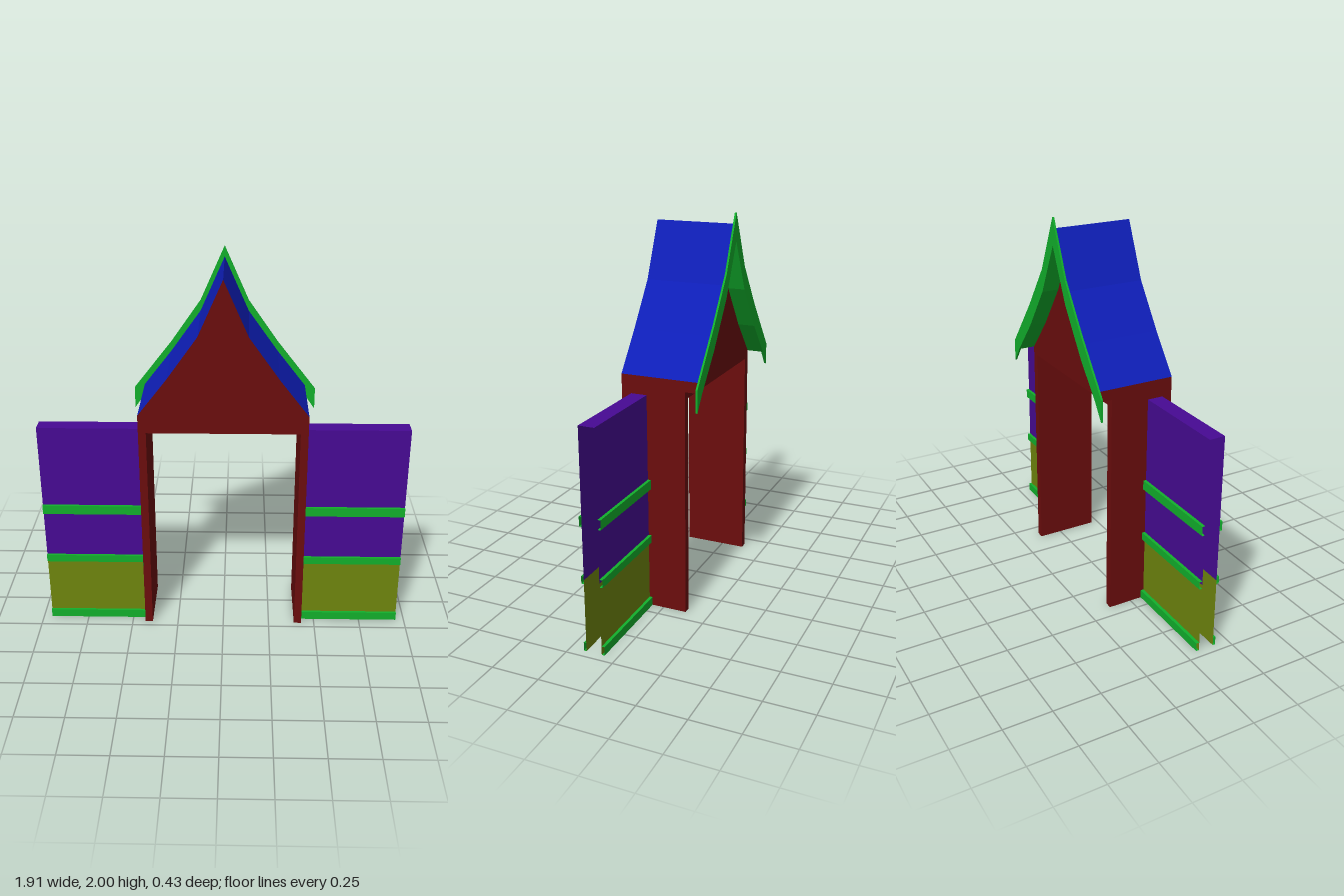
import * as THREE from 'three';

const paint = (color) => new THREE.MeshStandardMaterial({ color, side: THREE.DoubleSide, flatShading: true });

export function createModel() {
  const model = new THREE.Group();
  const red = paint(0x6b0d0d), blue = paint(0x0e1eb8), green = paint(0x12b02c);
  const purple = paint(0x470a94), olive = paint(0x6f860e);

  const add = (parent, name, geometry, material) => {
    const mesh = new THREE.Mesh(geometry, material);
    mesh.name = name;
    parent.add(mesh);
    return mesh;
  };

  // Open sheet: a folded line swept straight along x (points are z, y) or z (points are x, y)
  const sheet = (points, from, to, axis) => {
    const at = ([a, b], t) => (axis === 'x' ? [t, b, a] : [a, b, t]);
    const pos = [];
    for (let i = 0; i < points.length - 1; i++) {
      const [p, q] = [points[i], points[i + 1]];
      pos.push(...at(p, from), ...at(p, to), ...at(q, to), ...at(p, from), ...at(q, to), ...at(q, from));
    }
    const g = new THREE.BufferGeometry();
    g.setAttribute('position', new THREE.Float32BufferAttribute(pos, 3));
    g.computeVertexNormals();
    return g;
  };
  const mirrored = (half) => [...half, ...half.filter(([x]) => x > 0).reverse().map(([x, y]) => [-x, y])];
  const shapeOf = (points) => new THREE.Shape(points.map(([x, y]) => new THREE.Vector2(x, y)));

  // Key depths and half profiles, apex to eave
  const front = 0.215, back = -0.125, roofBack = -0.205;
  const roof = [[0, 1.945], [0.125, 1.66], [0.28, 1.44], [0.43, 1.245]];
  const under = [[0, 1.86], [0.125, 1.595], [0.28, 1.37], [0.43, 1.19]];
  const fasciaTop = [[0, 2], [0.125, 1.715], [0.28, 1.49], [0.485, 1.225]];
  const fasciaLow = [...under, [0.485, 1.11]];

  // Gable walls and the soffit over the passage
  const gable = new THREE.ShapeGeometry(shapeOf(mirrored([...roof, [0.43, 1.15]])));
  add(model, 'frontGable', gable, red).position.z = front;
  add(model, 'backGable', gable, red).position.z = back;
  add(model, 'soffit', sheet([[-0.39, 1.15], [0.39, 1.15]], back, front, 'z'), red);

  // Fascia board on the back edge of the roof
  const outline = [
    ...fasciaTop, ...[...fasciaLow].reverse(),
    ...fasciaLow.slice(1).map(([x, y]) => [-x, y]),
    ...fasciaTop.slice(1).reverse().map(([x, y]) => [-x, y]),
  ];
  const fascia = new THREE.ExtrudeGeometry(shapeOf(outline), { depth: 0.01, bevelEnabled: false });
  add(model, 'fascia', fascia, green).position.z = -0.215;

  for (const side of [1, -1]) {
    const half = new THREE.Group();
    half.name = side > 0 ? 'leftHalf' : 'rightHalf';
    half.scale.x = side;
    model.add(half);

    // Roof slope, eave and overhang
    add(half, 'roofSlope', sheet(roof, roofBack, front, 'z'), blue);
    add(half, 'eave', sheet([[0.43, 1.15], [0.43, 1.245]], back, front, 'z'), red);
    add(half, 'overhangEdge', sheet([[0.43, 1.19], [0.43, 1.245]], roofBack, back, 'z'), red);
    add(half, 'overhangUnderside', sheet(under, roofBack, back, 'z'), green);

    // Leg of the archway, with a short rail end on its outer face
    add(half, 'leg', new THREE.BoxGeometry(0.04, 1.15, front - back), red)
      .position.set(0.41, 0.575, (front + back) / 2);
    add(half, 'railEnd', sheet([[0.178, 0.36], [0.178, 0.4], [0.215, 0.4], [0.215, 0.36], [0.178, 0.36]], 0.43, 0.432, 'x'), green);
    add(half, 'railEndFace', sheet([[0.432, 0.36], [0.432, 0.4]], 0.178, 0.215, 'z'), green);

    // Hollow side wall: upper cladding is one folded sheet, lower cladding two
    const [x0, x1, zBack, zFront] = [0.43, 0.955, 0.08, 0.163];
    add(half, 'upperWall', sheet([[zBack, 0.38], [zBack, 1.15], [zFront, 1.15], [zFront, 0.38]], x0, x1, 'x'), purple);
    for (const [z, out] of [[zFront, 0.177], [zBack, 0.064]]) {
      add(half, 'lowerWall', sheet([[z, 0], [z, 0.38]], x0, x1, 'x'), olive);
      // Channel rails along the wall
      for (const [low, high] of [[0, 0.045], [0.36, 0.4], [0.655, 0.705]])
        add(half, 'rail', sheet([[z, low], [out, low], [out, high], [z, high]], x0, x1, 'x'), green);
    }
  }
  return model;
}
